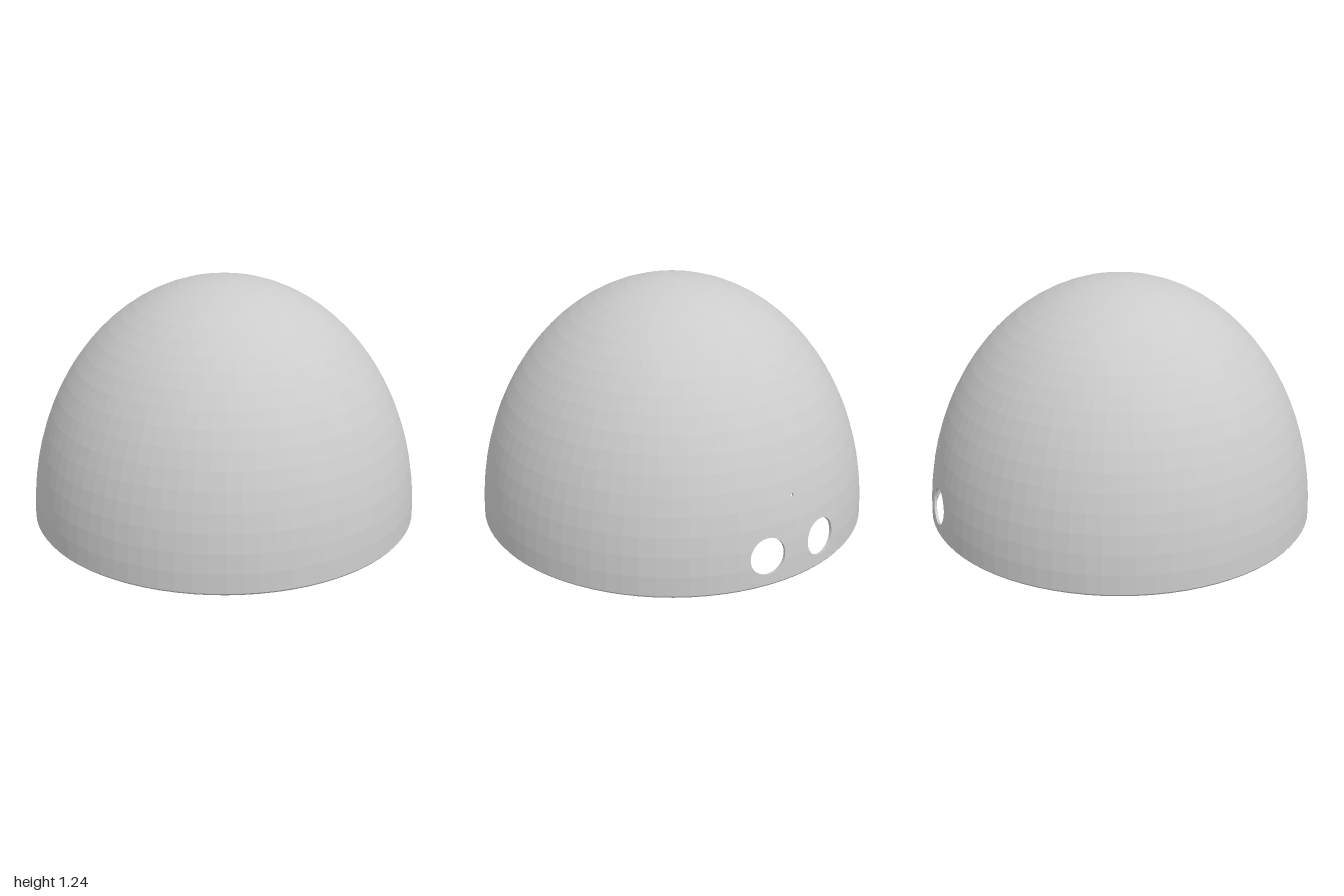
import * as THREE from 'three';

const SEG = 80, ROWS = 20;               // facets around, and from rim to crown
const BASE = 0.01, R = 1, H = 1.23, WALL = 0.013;
const STEP = (2 * Math.PI) / SEG;        // the same angle around and upward

// Corner of the faceted shell: i counts from the back, j from the rim
function corner(i, j, inset) {
  const r = (R - inset) * Math.cos(j * STEP);
  return new THREE.Vector3(r * Math.sin(i * STEP), BASE + (H - inset) * Math.sin(j * STEP), -r * Math.cos(i * STEP));
}

// Any point on the flat facets, for fractional i and j
function onShell(i, j, inset) {
  const a = Math.floor(i), b = Math.floor(j);
  const low = corner(a, b, inset).lerp(corner(a + 1, b, inset), i - a);
  const high = corner(a, b + 1, inset).lerp(corner(a + 1, b + 1, inset), i - a);
  return low.lerp(high, j - b);
}

// Round openings at the back, each inside a rectangle of facets
const OPENINGS = [
  { x: 0.163, y: 0.152, r: 0.092, i0: 0, i1: 4, j0: 0, j1: 3 },
  { x: -0.163, y: 0.152, r: 0.092, i0: -4, i1: 0, j0: 0, j1: 3 },
  { x: 0, y: 0.41, r: 0.008, i0: -1, i1: 1, j0: 3, j1: 5 },
];

// Grid position of a point given by x and y on the back
function toGrid(x, y) {
  const t = Math.asin((y - BASE) / H);
  return [Math.asin(x / (R * Math.cos(t))) / STEP, t / STEP];
}

// Matching loops: the rectangle's edge and the circle inside it
function openingLoops(o) {
  const n = 4, edge = [];
  const side = (x0, y0, x1, y1) => {
    const count = n * (Math.abs(x1 - x0) + Math.abs(y1 - y0));
    for (let k = 0; k < count; k++) edge.push([x0 + ((x1 - x0) * k) / count, y0 + ((y1 - y0) * k) / count]);
  };
  side(o.i0, o.j0, o.i1, o.j0);
  side(o.i1, o.j0, o.i1, o.j1);
  side(o.i1, o.j1, o.i0, o.j1);
  side(o.i0, o.j1, o.i0, o.j0);
  const [ci, cj] = toGrid(o.x, o.y);
  const circle = edge.map(([i, j]) => {
    const a = Math.atan2((j - cj) * H, i - ci);
    return toGrid(o.x + o.r * Math.cos(a), o.y + o.r * Math.sin(a));
  });
  return { edge, circle };
}

function quad(out, a, b, c, d) {
  for (const p of [a, b, c, a, c, d]) out.push(p.x, p.y, p.z);
}

function toGeometry(positions) {
  const g = new THREE.BufferGeometry();
  g.setAttribute('position', new THREE.Float32BufferAttribute(positions, 3));
  g.computeVertexNormals();
  return g;
}

// One skin of the dome, with the openings left free
function skin(inset, inward) {
  const out = [];
  const face = (a, b, c, d) => (inward ? quad(out, a, b, c, d) : quad(out, a, d, c, b));
  for (let i = -SEG / 2; i < SEG / 2; i++) {
    for (let j = 0; j < ROWS; j++) {
      if (OPENINGS.some((o) => i >= o.i0 && i < o.i1 && j >= o.j0 && j < o.j1)) continue;
      face(corner(i, j, inset), corner(i + 1, j, inset), corner(i + 1, j + 1, inset), corner(i, j + 1, inset));
    }
  }
  // Rings of faces from each circle out to its rectangle
  const rings = 4;
  for (const o of OPENINGS) {
    const { edge, circle } = openingLoops(o);
    const at = (k, s) => {
      const e = edge[k % edge.length], c = circle[k % edge.length], f = s / rings;
      return onShell(c[0] + (e[0] - c[0]) * f, c[1] + (e[1] - c[1]) * f, inset);
    };
    for (let k = 0; k < edge.length; k++) {
      for (let s = 0; s < rings; s++) face(at(k, s), at(k, s + 1), at(k + 1, s + 1), at(k + 1, s));
    }
  }
  return toGeometry(out);
}

// Wall through the shell around one opening
function openingWall(o) {
  const out = [], { circle } = openingLoops(o);
  circle.forEach((c, k) => {
    const d = circle[(k + 1) % circle.length];
    quad(out, onShell(...c, 0), onShell(...c, WALL), onShell(...d, WALL), onShell(...d, 0));
  });
  return toGeometry(out);
}

export function createModel() {
  const model = new THREE.Group();
  model.name = 'dome';
  const material = new THREE.MeshStandardMaterial({ color: 0xcccccc, flatShading: true, side: THREE.DoubleSide });
  const add = (name, geometry) => {
    const mesh = new THREE.Mesh(geometry, material);
    mesh.name = name;
    model.add(mesh);
  };

  add('outerShell', skin(0, false));
  add('innerShell', skin(WALL, true));

  // Bottom rim with a small chamfer outside
  const rim = [[R - WALL, BASE], [R - WALL, 0], [0.993, 0], [R, BASE]].map(([x, y]) => new THREE.Vector2(x, y));
  add('rim', new THREE.LatheGeometry(rim, SEG));

  ['leftOpening', 'rightOpening', 'pinHole'].forEach((name, k) => add(name, openingWall(OPENINGS[k])));
  return model;
}
